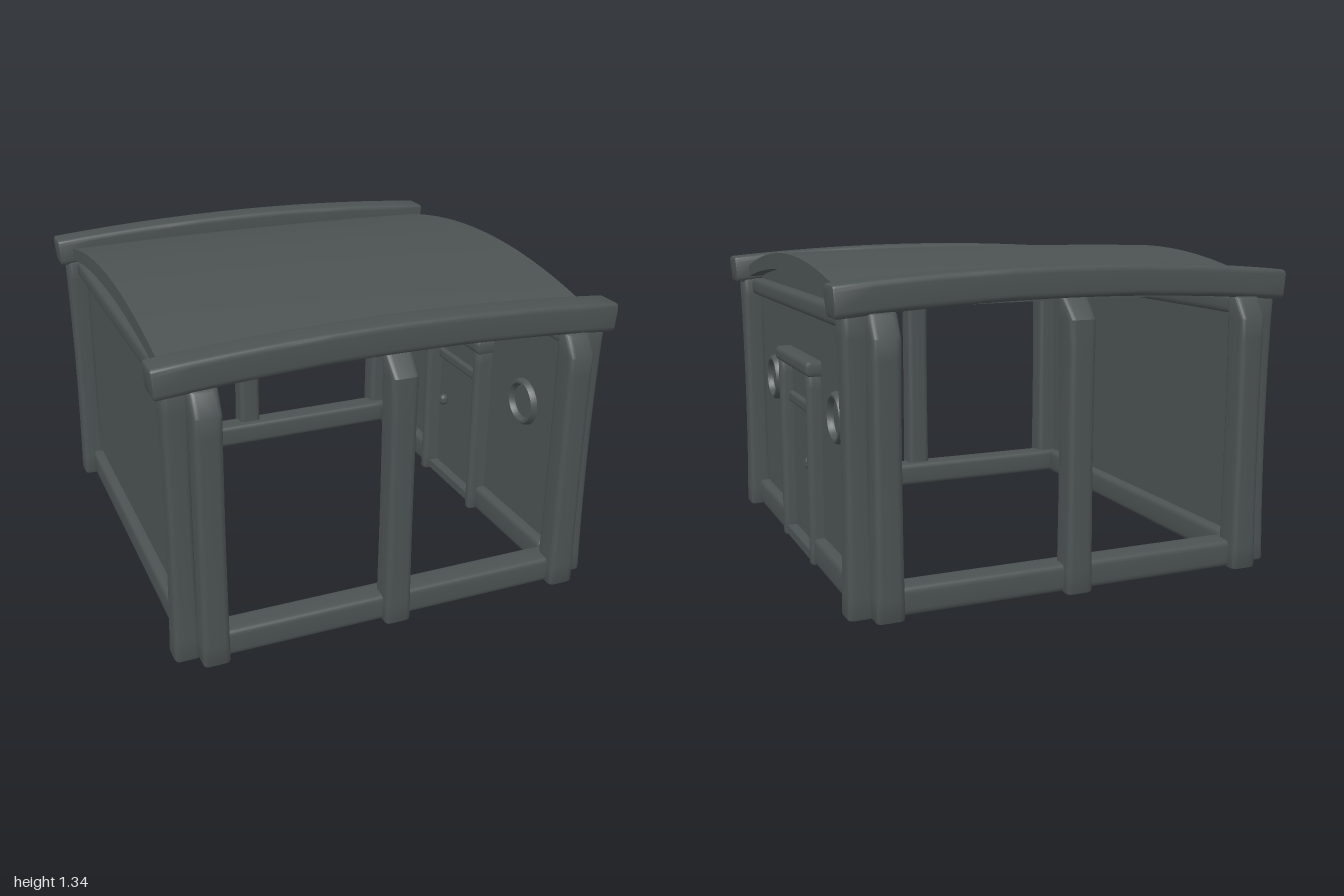
import * as THREE from 'three';
import { toCreasedNormals } from 'three/addons/utils/BufferGeometryUtils.js';

const charcoal = new THREE.MeshStandardMaterial({ color: 0x4c5252 });
charcoal.name = 'charcoal';

// Move every vertex by a rule
function warp(geo, rule) {
  const p = geo.attributes.position, v = new THREE.Vector3();
  for (let i = 0; i < p.count; i++) {
    v.fromBufferAttribute(p, i);
    rule(v);
    p.setXYZ(i, v.x, v.y, v.z);
  }
  return geo;
}

// Timber with rounded corners, centred, running along z; waist narrows its middle
function timber(w, h, len, { r = 0.025, waist = 0 } = {}) {
  const a = w / 2, b = h / 2, bevel = 0.012;
  const s = new THREE.Shape();
  s.moveTo(-a + r, -b);
  s.lineTo(a - r, -b).quadraticCurveTo(a, -b, a, -b + r);
  s.lineTo(a, b - r).quadraticCurveTo(a, b, a - r, b);
  s.lineTo(-a + r, b).quadraticCurveTo(-a, b, -a, b - r);
  s.lineTo(-a, -b + r).quadraticCurveTo(-a, -b, -a + r, -b);
  const geo = new THREE.ExtrudeGeometry(s, {
    depth: len - 2 * bevel, steps: 14, curveSegments: 4,
    bevelSize: bevel, bevelThickness: bevel, bevelOffset: -bevel, bevelSegments: 2,
  });
  geo.translate(0, 0, bevel - len / 2);
  return warp(geo, v => {
    const t = 2 * v.z / len, k = 1 - waist * (1 - t * t);
    v.x *= k;
    v.y *= k;
  });
}

// Height of the arched roof underside at depth z
const roofUnder = z => 1.262 - 0.12 * z * z;

export function createModel() {
  const group = new THREE.Group();
  const add = (name, geo, x = 0, y = 0, z = 0) => {
    const m = new THREE.Mesh(toCreasedNormals(geo, 0.6), charcoal);
    m.name = name;
    m.position.set(x, y, z);
    group.add(m);
    return m;
  };
  const post = (w, d, h, waist) => timber(w, d, h, { waist }).rotateX(-Math.PI / 2);

  for (const [end, s] of [['front', 1], ['back', -1]]) {
    // Face posts, chamfered back under the beam
    for (const x of [-0.787, 0, 0.793]) {
      const h = x === 0 ? 1.2 : 1.165;
      const geo = warp(post(0.115, 0.12, h, 0.06), v => {
        const over = v.y + h / 2 - 1.1;
        if (over > 0 && v.z * s > 0) v.z -= s * over * 0.9;
      });
      add(end + 'Post', geo, x, h / 2, s * 0.94);
    }
    // Corner posts
    for (const x of [-1, 1]) add(end + 'CornerPost', post(0.11, 0.11, 1.16, 0.15), x * 0.885, 0.58, s * 0.872);
    // Sill between the posts
    add(end + 'Sill', timber(0.12, 0.115, 1.66).rotateY(Math.PI / 2), 0, 0.062, s * 0.9);
    // Arched head beam
    const beam = warp(timber(0.135, 0.125, 1.95).rotateY(Math.PI / 2), v => {
      const x = v.x;
      v.x += 0.09 * x * v.y;
      v.y -= 0.047 * x * x;
    });
    add(end + 'Beam', beam, 0, 1.247, s * 0.882);
  }

  // Side walls with arched gables; the left wall has a doorway
  for (const s of [-1, 1]) {
    const side = s > 0 ? 'left' : 'right';
    const shape = new THREE.Shape();
    shape.moveTo(-0.86, 0.03);
    shape.lineTo(0.86, 0.03);
    for (let i = 0; i <= 20; i++) {
      const z = 0.86 - 1.72 * i / 20;
      shape.lineTo(z, roofUnder(z) + 0.01);
    }
    if (s > 0) {
      const hole = new THREE.Path();
      hole.moveTo(-0.22, 0.04);
      hole.lineTo(-0.22, 0.84);
      hole.lineTo(0.22, 0.84);
      hole.lineTo(0.22, 0.04);
      shape.holes.push(hole);
    }
    const wall = new THREE.ExtrudeGeometry(shape, { depth: 0.03, bevelEnabled: false });
    add(side + 'Wall', wall.translate(0, 0, -0.015).rotateY(Math.PI / 2), s * 0.83);
    add(side + 'Rail', timber(0.12, 0.08, 1.68), s * 0.835, 1.12);
    // Side sill, broken by the door
    const runs = s > 0 ? [[0.24, 0.84], [-0.84, -0.23]] : [[-0.84, 0.84]];
    for (const [a, b] of runs) add(side + 'Sill', timber(0.12, 0.12, b - a), s * 0.83, 0.065, (a + b) / 2);
  }

  // Door frame, leaf, crossbar and threshold
  add('doorJamb', post(0.17, 0.052, 0.84, 0), 0.82, 0.425, 0.245);
  add('doorJamb', post(0.17, 0.052, 0.84, 0), 0.82, 0.425, -0.23);
  add('doorLintel', timber(0.185, 0.065, 0.55), 0.82, 0.86, 0.005);
  add('door', new THREE.BoxGeometry(0.04, 0.8, 0.43), 0.83, 0.435, 0.008);
  add('doorCrossbar', timber(0.08, 0.05, 0.43, { r: 0.015 }), 0.83, 0.665, 0.008);
  add('doorThreshold', new THREE.BoxGeometry(0.13, 0.04, 0.43), 0.83, 0.035, 0.008);
  for (const s of [-1, 1]) {
    const knob = new THREE.SphereGeometry(0.024, 16, 12).scale(1, 1.2, 0.9);
    add('doorKnob', knob, 0.83 + s * 0.04, 0.43, -0.13);
  }

  // Round window rings beside the door
  for (const z of [0.563, -0.518]) {
    const ring = new THREE.TorusGeometry(0.092, 0.018, 10, 40).scale(1, 1, 2.4);
    add('windowRing', ring.rotateY(Math.PI / 2), 0.83, 0.7, z);
  }

  // Roof slab, arched front to back and slightly side to side
  const roof = warp(new THREE.BoxGeometry(1.82, 0.065, 1.74, 12, 1, 28), v => {
    const upper = v.y > 0;
    v.y = upper ? 1.335 - 0.15 * v.z * v.z : roofUnder(v.z);
    v.y -= 0.015 * v.x * v.x;
  });
  add('roof', roof);

  return group;
}
